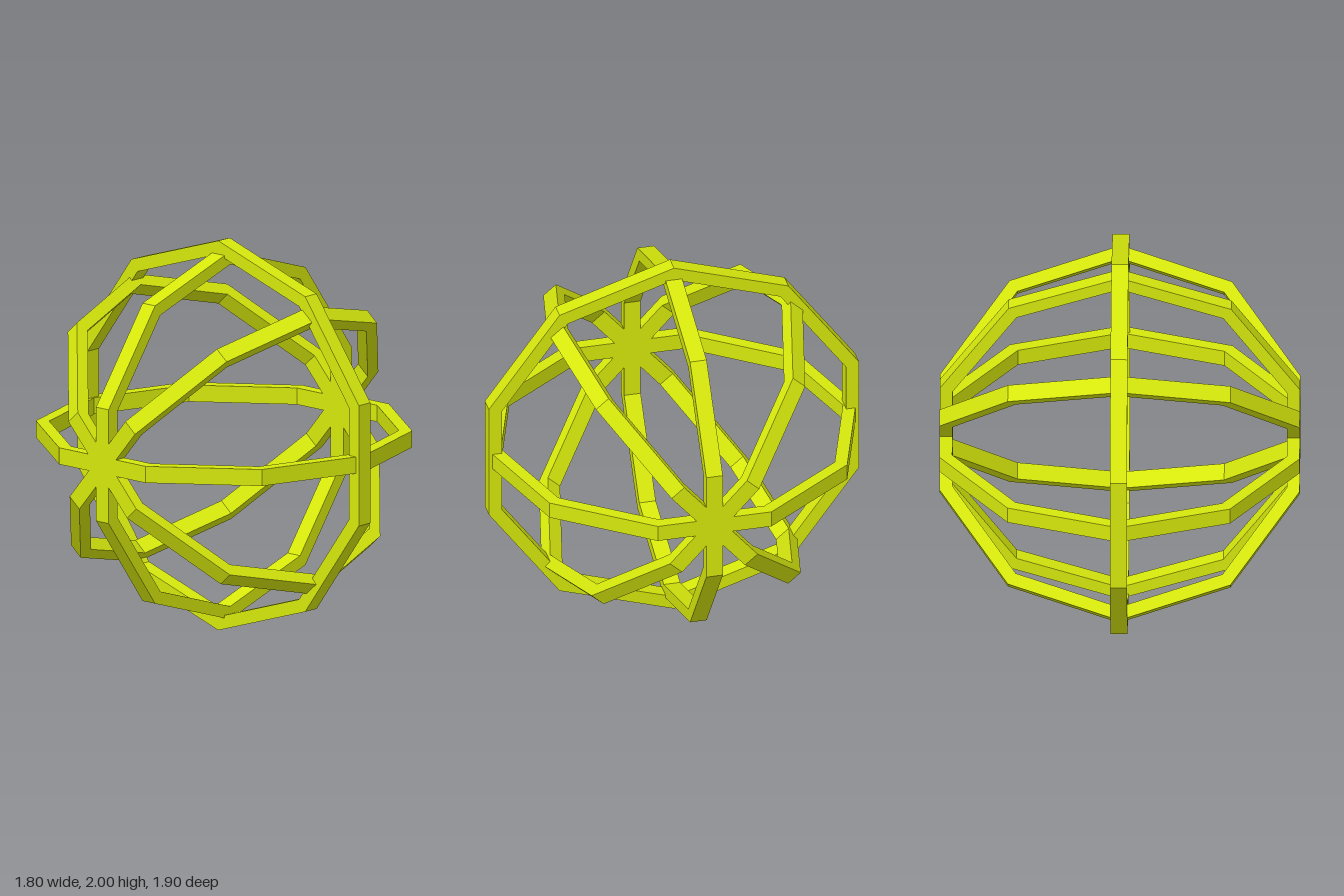
import * as THREE from 'three';

const SIDES = 10;
const WIDTH = 0.085;

// Corners of a regular polygon with one corner straight up
function polygon(radius) {
  return Array.from({ length: SIDES }, (_, i) => {
    const a = Math.PI / 2 + (i / SIDES) * Math.PI * 2;
    return new THREE.Vector2(Math.cos(a) * radius, Math.sin(a) * radius);
  });
}

// Flat ten-sided band in the xy plane, centred on its own depth
function hoopGeometry(outer, inner) {
  const shape = new THREE.Shape(polygon(outer));
  shape.holes.push(new THREE.Path(polygon(inner)));
  const geometry = new THREE.ExtrudeGeometry(shape, { depth: WIDTH, bevelEnabled: false });
  return geometry.translate(0, 0, -WIDTH / 2);
}

export function createModel() {
  const model = new THREE.Group();
  model.name = 'hoopSphere';
  const material = new THREE.MeshStandardMaterial({ color: 0xd6e80c, flatShading: true });

  // Large hoop standing in the yz plane, around the others
  const outerHoop = new THREE.Mesh(hoopGeometry(1, 0.93), material);
  outerHoop.name = 'outerHoop';
  outerHoop.rotation.y = Math.PI / 2;
  outerHoop.position.y = 1;
  model.add(outerHoop);

  // Four smaller hoops fanned about the x axis, crossing at both ends
  const innerGeometry = hoopGeometry(0.945, 0.878);
  const tilts = { uprightHoop: 0, forwardHoop: 40.2, levelHoop: 90, backwardHoop: -42.6 };
  for (const [name, degrees] of Object.entries(tilts)) {
    const hoop = new THREE.Mesh(innerGeometry, material);
    hoop.name = name;
    hoop.rotation.x = THREE.MathUtils.degToRad(degrees);
    hoop.position.y = 1;
    model.add(hoop);
  }
  return model;
}
